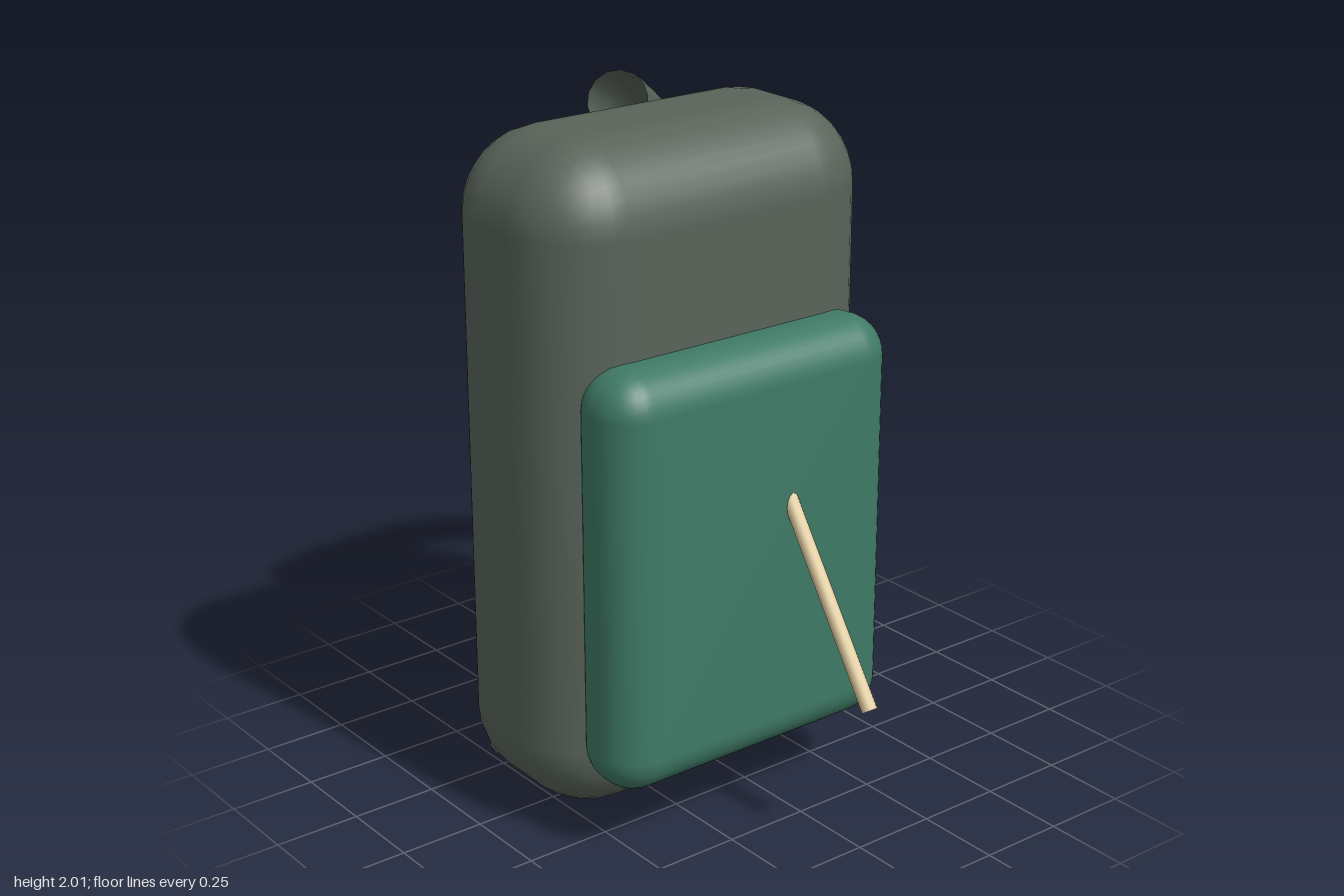
import * as THREE from 'three';
import { RoundedBoxGeometry } from 'three/addons/geometries/RoundedBoxGeometry.js';

const V = (x, y, z) => new THREE.Vector3(x, y, z);

export function createModel() {
  const model = new THREE.Group();
  const fabric = new THREE.MeshStandardMaterial({ color: 0x59645a });
  const strapFabric = new THREE.MeshStandardMaterial({ color: 0x59645a, side: THREE.DoubleSide });
  const green = new THREE.MeshStandardMaterial({ color: 0x3f7a66 });
  const tan = new THREE.MeshStandardMaterial({ color: 0xe0cca0 });

  const add = (name, geometry, material, position = V(0, 0, 0)) => {
    const mesh = new THREE.Mesh(geometry, material);
    mesh.name = name;
    mesh.position.copy(position);
    model.add(mesh);
    return mesh;
  };

  // Main bag and front pocket
  add('bagBody', new RoundedBoxGeometry(1.1, 1.9, 0.595, 4, 0.23), fabric, V(-0.12, 0.99, 0.0225));
  add('frontPocket', new RoundedBoxGeometry(0.95, 1.2, 0.25, 4, 0.115), green, V(-0.12, 0.787, 0.345));

  // Zip pull: thin rod sloping down and out of the pocket
  const pullTop = V(-0.02, 0.96, 0.445);
  const pullEnd = V(-0.02, 0.44, 0.795);
  const pullAxis = pullTop.clone().sub(pullEnd);
  const pull = add('zipPull', new THREE.CylinderGeometry(0.022, 0.022, pullAxis.length(), 12), tan,
    pullTop.clone().add(pullEnd).multiplyScalar(0.5));
  pull.quaternion.setFromUnitVectors(V(0, 1, 0), pullAxis.normalize());

  // Shoulder strap: open tube bowing out behind the bag
  const strapPath = new THREE.CatmullRomCurve3([
    V(-0.12, 1.93, -0.17), V(0.04, 1.84, -0.3), V(0.16, 1.73, -0.4), V(0.35, 1.56, -0.54),
    V(0.475, 1.37, -0.645), V(0.577, 1.09, -0.728), V(0.41, 0.73, -0.645),
    V(0.19, 0.54, -0.535), V(-0.13, 0.32, -0.375), V(-0.5, 0.065, -0.18),
  ]);
  add('shoulderStrap', new THREE.TubeGeometry(strapPath, 24, 0.085, 14), strapFabric);

  // Strap buckle, tilted to follow the strap
  const buckle = add('strapBuckle', new RoundedBoxGeometry(0.21, 0.235, 0.075, 3, 0.02), tan, V(0.33, 0.85, -0.625));
  const across = V(0.2, -0.06, -0.05).normalize();
  const out = across.clone().cross(V(0.08, 0.22, -0.03)).normalize();
  const along = out.clone().cross(across);
  buckle.quaternion.setFromRotationMatrix(new THREE.Matrix4().makeBasis(across, along, out));

  return model;
}
